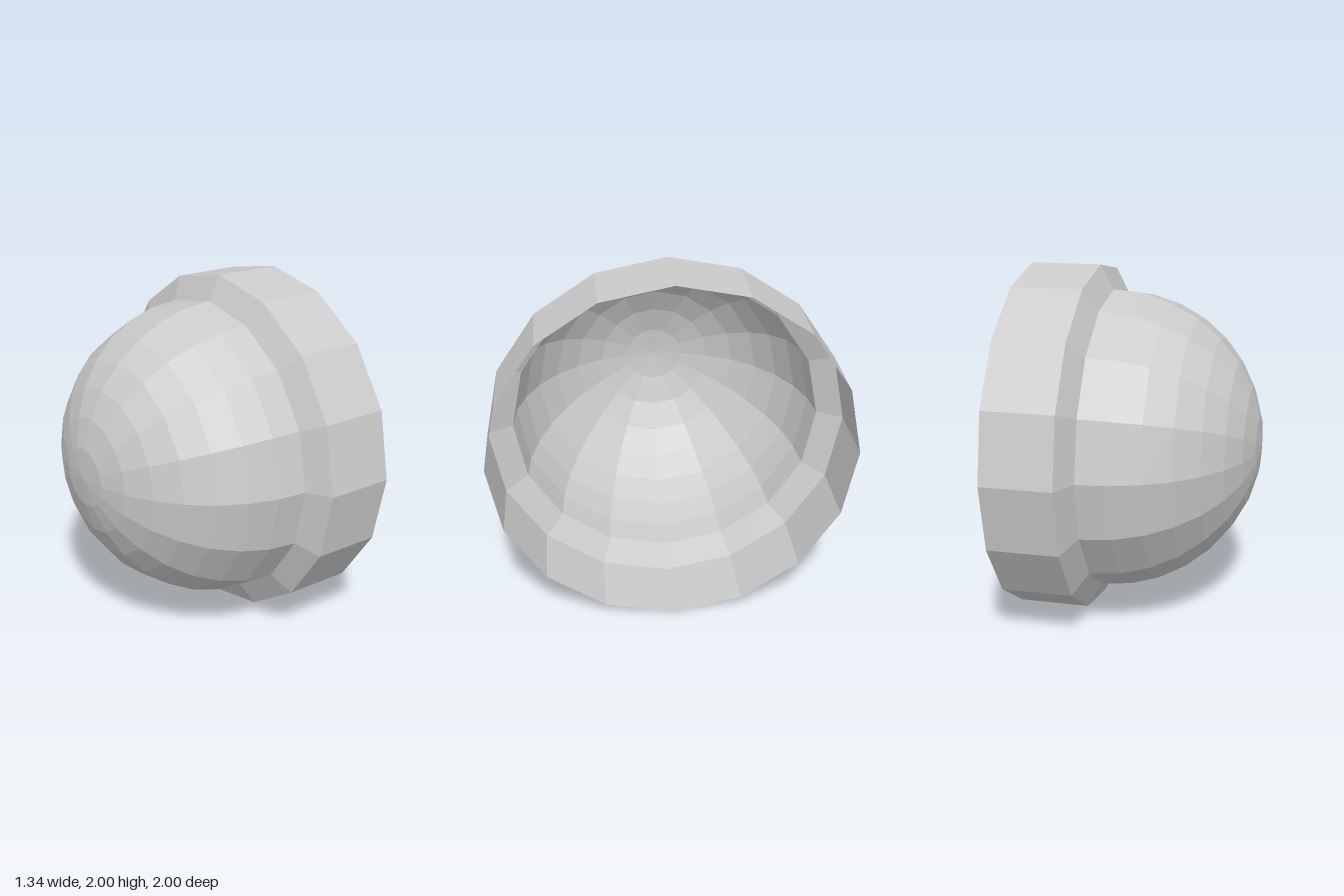
import * as THREE from 'three';

const SIDES = 16;
const DOME_RADIUS = 0.863;
const DOME_RINGS = 8;
const DOME_EDGE_X = 0.195;

export function createModel() {
  const group = new THREE.Group();
  const material = new THREE.MeshStandardMaterial({
    color: 0xcccccc, flatShading: true, side: THREE.DoubleSide,
  });

  // Revolves a profile of [radius, position along x] around the x axis
  const addShell = (name, profile) => {
    const points = profile.map(([r, x]) => new THREE.Vector2(r, x));
    const geometry = new THREE.LatheGeometry(points, SIDES);
    geometry.rotateZ(-Math.PI / 2);
    const mesh = new THREE.Mesh(geometry, material);
    mesh.name = name;
    mesh.position.y = 1;
    group.add(mesh);
  };

  // Hemispherical dome with its pole towards -x
  const dome = [];
  for (let i = 0; i <= DOME_RINGS; i++) {
    const a = (i / DOME_RINGS) * Math.PI / 2;
    dome.push([DOME_RADIUS * Math.sin(a), DOME_EDGE_X - DOME_RADIUS * Math.cos(a)]);
  }
  addShell('dome', dome);

  // Sloped step out to the wider collar, open at +x
  addShell('flare', [[DOME_RADIUS, DOME_EDGE_X], [1, 0.27]]);
  addShell('collar', [[1, 0.27], [1, 0.668]]);

  return group;
}
